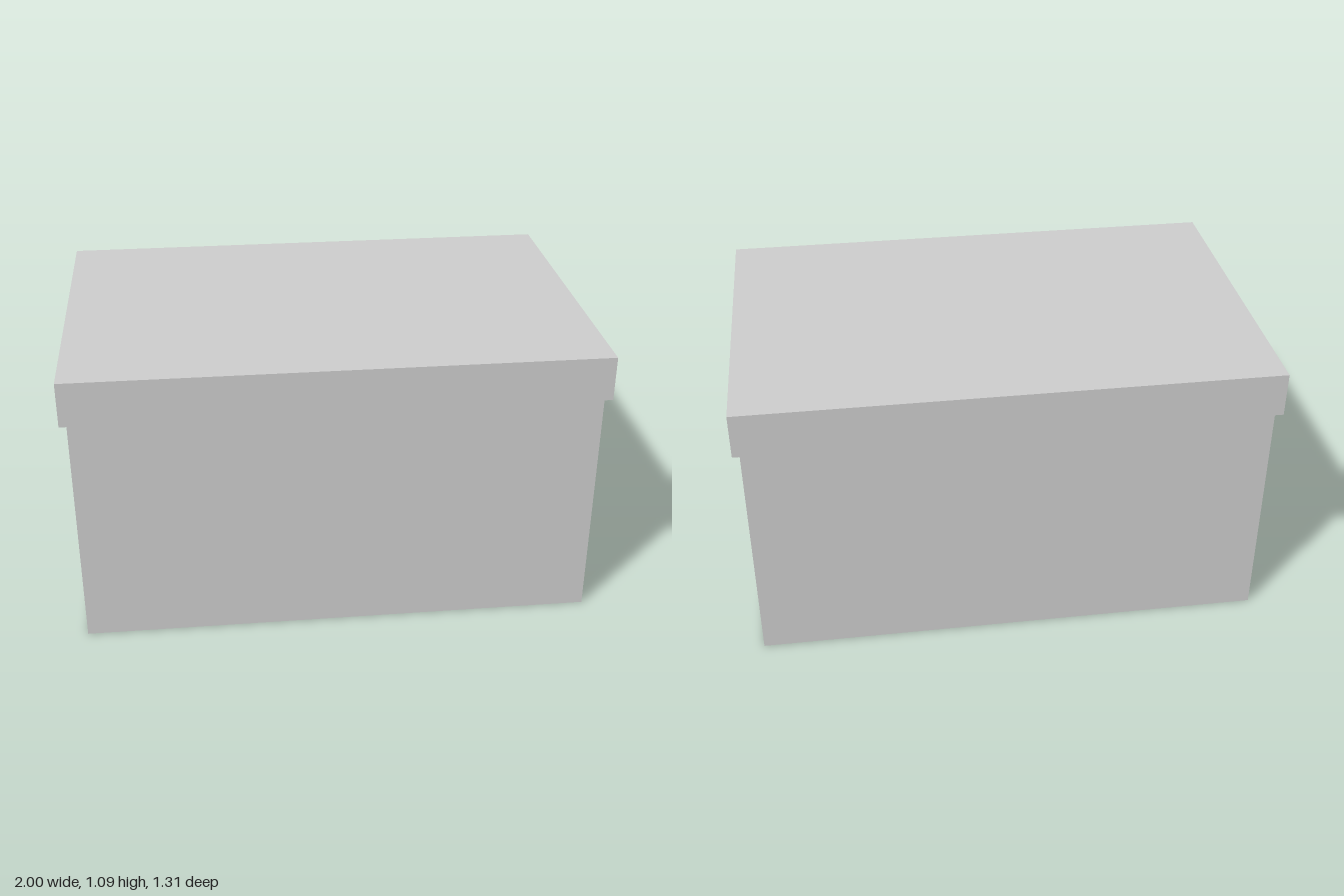
import * as THREE from 'three';

const material = new THREE.MeshStandardMaterial({ color: 0xcccccc });

const BODY = { x: 0.975, z: 0.635, top: 1.06, wall: 0.03 };
const LID = { x: 1, z: 0.655, bottom: 0.915, top: 1.085, wall: 0.015 };

// Box given by its lower and upper corners
function panel(name, x0, y0, z0, x1, y1, z1) {
  const mesh = new THREE.Mesh(new THREE.BoxGeometry(x1 - x0, y1 - y0, z1 - z0), material);
  mesh.position.set((x0 + x1) / 2, (y0 + y1) / 2, (z0 + z1) / 2);
  mesh.name = name;
  return mesh;
}

// End wall with a rounded hand hole, drawn in the z-y plane
function endWallGeometry() {
  const { z, top, wall } = BODY;
  const shape = new THREE.Shape([
    new THREE.Vector2(-z, 0), new THREE.Vector2(z, 0),
    new THREE.Vector2(z, top), new THREE.Vector2(-z, top),
  ]);
  const corner = [[0.245, 0.652], [0.28, 0.676], [0.3, 0.707], [0.305, 0.732],
    [0.3, 0.757], [0.28, 0.788], [0.245, 0.812]];
  const right = corner.map(([u, v]) => new THREE.Vector2(u, v));
  const left = corner.map(([u, v]) => new THREE.Vector2(-u, v)).reverse();
  shape.holes.push(new THREE.Path([...right, ...left]));
  return new THREE.ExtrudeGeometry(shape, { depth: wall, bevelEnabled: false })
    .rotateY(Math.PI / 2);
}

export function createModel() {
  const model = new THREE.Group();
  model.name = 'storageBox';

  // Open body: floor, two long walls, two end walls with hand holes
  const body = new THREE.Group();
  body.name = 'body';
  const { x, z, top, wall: w } = BODY;
  const ix = x - w;
  const iz = z - w;
  body.add(
    panel('floor', -ix, 0, -iz, ix, w, iz),
    panel('frontWall', -ix, 0, iz, ix, top, z),
    panel('backWall', -ix, 0, -z, ix, top, -iz),
  );
  const endGeometry = endWallGeometry();
  for (const [name, start] of [['leftEndWall', ix], ['rightEndWall', -x]]) {
    const end = new THREE.Mesh(endGeometry, material);
    end.name = name;
    end.position.x = start;
    body.add(end);
  }
  model.add(body);

  // Hollow lid: top plate with a skirt hanging over the body
  const lid = new THREE.Group();
  lid.name = 'lid';
  const { x: lx, z: lz, bottom: b, top: t, wall: lw } = LID;
  const plate = t - lw;
  lid.add(
    panel('lidTop', -lx, plate, -lz, lx, t, lz),
    panel('lidFrontSkirt', -lx, b, lz - lw, lx, plate, lz),
    panel('lidBackSkirt', -lx, b, -lz, lx, plate, lw - lz),
    panel('lidLeftSkirt', lx - lw, b, lw - lz, lx, plate, lz - lw),
    panel('lidRightSkirt', -lx, b, lw - lz, lw - lx, plate, lz - lw),
  );
  model.add(lid);

  return model;
}
